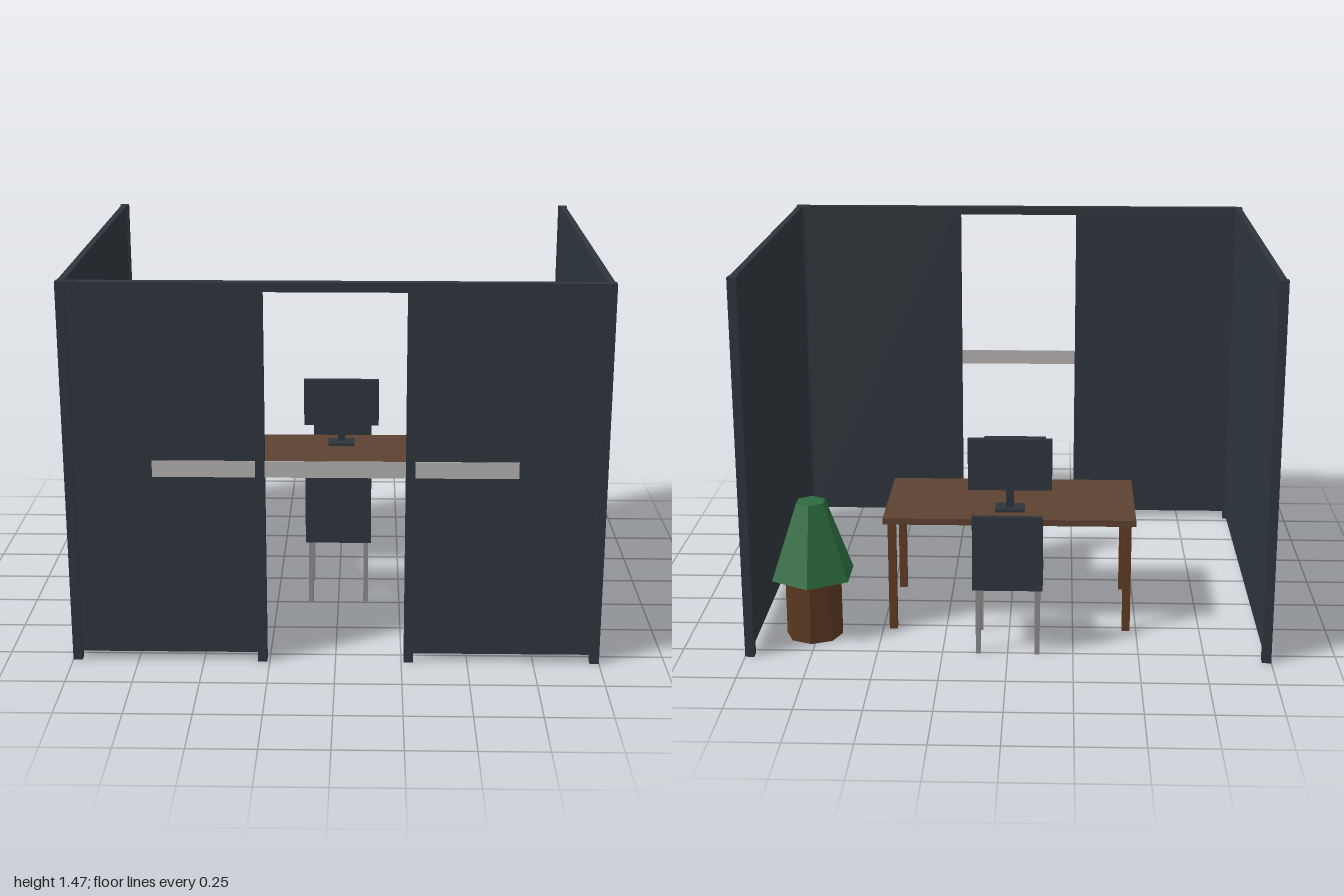
import * as THREE from 'three';

const mat = (name, color, extra = {}) => {
  const m = new THREE.MeshStandardMaterial({ color, ...extra });
  m.name = name;
  return m;
};

export function createModel() {
  const dark = mat('charcoal', 0x2d353b);
  const wood = mat('tableWood', 0x5c4130);
  const brown = mat('brown', 0x5f3c24);
  const metal = mat('metalGrey', 0x8a8a8a);
  const pale = mat('paleBand', 0xb5b2b0);
  const green = mat('leafGreen', 0x2b6a3e, { flatShading: true });
  const clay = mat('potBrown', 0x5a3820, { flatShading: true });

  const model = new THREE.Group();
  model.name = 'officeCubicle';

  const group = (name, parent = model) => {
    const g = new THREE.Group();
    g.name = name;
    parent.add(g);
    return g;
  };
  const add = (parent, name, geometry, material, x, y, z) => {
    const m = new THREE.Mesh(geometry, material);
    m.name = name;
    m.position.set(x, y, z);
    parent.add(m);
    return m;
  };
  // Box given by its centre x and z, and its bottom and top heights
  const box = (parent, name, material, w, d, y0, y1, x, z) =>
    add(parent, name, new THREE.BoxGeometry(w, y1 - y0, d), material, x, (y0 + y1) / 2, z);

  // Walls: posts, top rails and panels, mirrored left and right
  const H = 1.473, P = 0.035, railY = 1.438, wallZ = 0.7975;
  const walls = group('walls');
  box(walls, 'frontTopRail', dark, 2, P, railY, H, 0, wallZ);
  for (const s of [1, -1]) {
    box(walls, 'frontCornerPost', dark, P, P, 0, railY, s * 0.9825, wallZ);
    box(walls, 'doorPost', dark, P, P, 0, railY, s * 0.277, wallZ);
    box(walls, 'frontPanel', dark, 0.671, 0.02, 0.035, railY, s * 0.63, wallZ);
    box(walls, 'backPost', dark, P, P, 0, H, s * 0.9825, -wallZ);
    box(walls, 'sideTopRail', dark, 0.025, 1.56, railY, H, s * 0.9825, 0);
    box(walls, 'sidePanel', dark, 0.023, 1.546, 0.035, railY, s * 0.9825, 0);
  }
  box(walls, 'paleBand', pale, 1.35, 0.004, 0.74, 0.803, 0, 0.81);

  // Table
  const table = group('table');
  table.position.z = -0.305;
  box(table, 'tableTop', wood, 0.984, 0.492, 0.445, 0.47, 0, 0);
  for (const x of [-0.46, 0.46])
    for (const z of [-0.213, 0.213])
      box(table, 'tableLeg', brown, 0.031, 0.031, 0, 0.445, x, z);

  // Monitor
  const monitor = group('monitor');
  box(monitor, 'monitorBase', dark, 0.115, 0.08, 0.47, 0.482, 0, -0.428);
  box(monitor, 'monitorStand', dark, 0.03, 0.02, 0.482, 0.56, 0, -0.436);
  box(monitor, 'monitorScreen', dark, 0.33, 0.022, 0.555, 0.763, 0, -0.438);

  // Two chairs facing each other across the table
  const chair = (name, z, turn) => {
    const g = group(name);
    g.position.z = z;
    g.rotation.y = turn;
    box(g, 'seat', dark, 0.266, 0.265, 0.265, 0.287, 0, 0);
    box(g, 'backrest', dark, 0.266, 0.021, 0.287, 0.56, 0, 0.122);
    for (const x of [-0.112, 0.112])
      for (const lz of [-0.11, 0.11])
        box(g, 'chairLeg', metal, 0.019, 0.019, 0, 0.265, x, lz);
  };
  chair('frontChair', 0.122, 0);
  chair('backChair', -0.641, Math.PI);

  // Potted plant
  const plant = group('pottedPlant');
  plant.position.set(0.765, 0, -0.583);
  add(plant, 'pot', new THREE.CylinderGeometry(0.11, 0.11, 0.25, 8), clay, 0, 0.125, 0);
  add(plant, 'foliage', new THREE.CylinderGeometry(0.06, 0.17, 0.3, 6), green, 0, 0.4, 0);

  return model;
}
